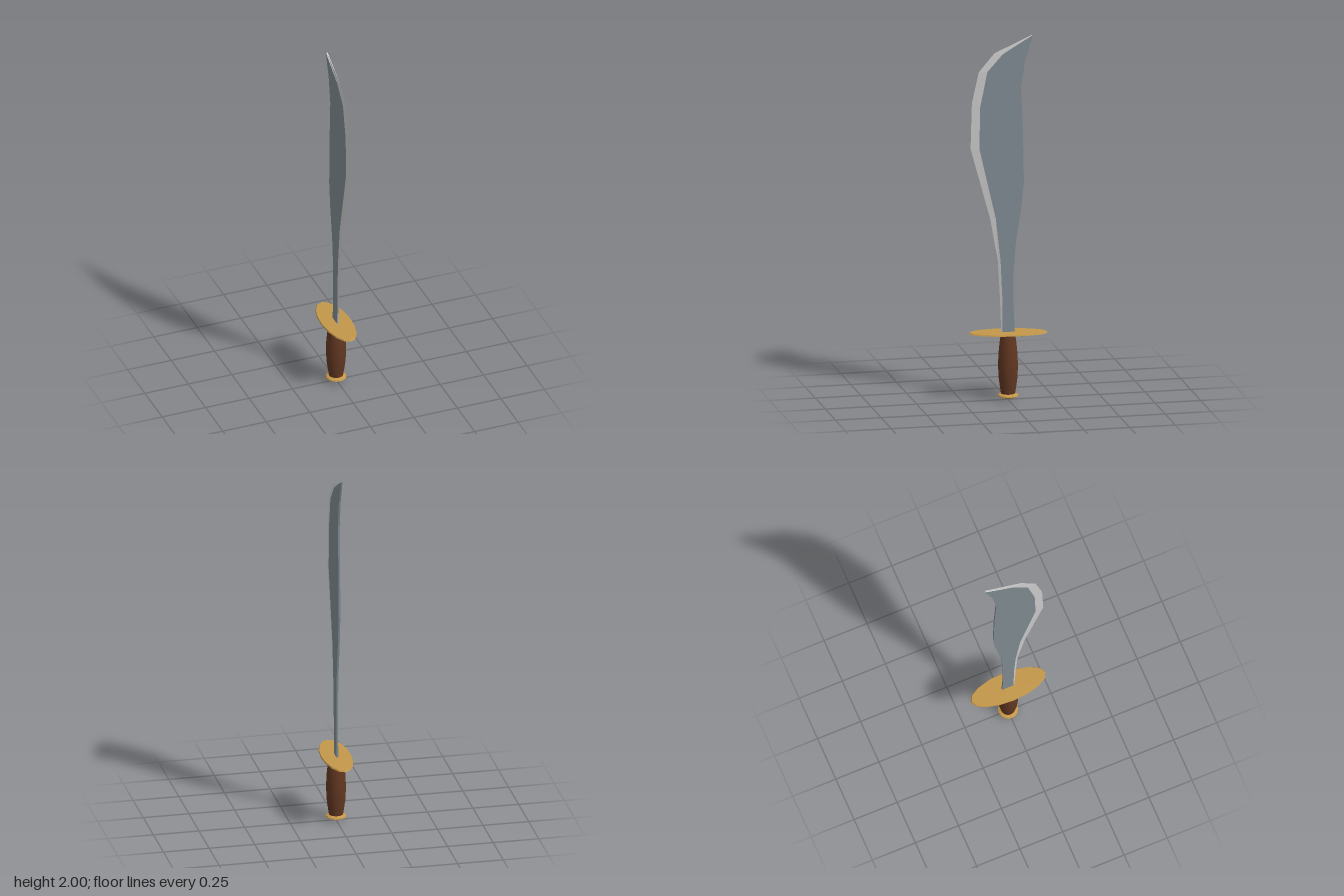
import * as THREE from 'three';

const STEEL = 0x7f8b92, EDGE = 0xcccccc, BRASS = 0xc3974a, WOOD = 0x623721;

function addPart(group, name, geometry, color, flatShading = true) {
  const mesh = new THREE.Mesh(geometry, new THREE.MeshStandardMaterial({ color, flatShading }));
  mesh.name = name;
  group.add(mesh);
  return mesh;
}

function lathe(profile, sides) {
  return new THREE.LatheGeometry(profile.map(([r, y]) => new THREE.Vector2(r, y)), sides);
}

function quadGeometry(quads) {
  const pos = [];
  for (const [a, b, c, d] of quads) pos.push(...a, ...b, ...c, ...a, ...c, ...d);
  const g = new THREE.BufferGeometry();
  g.setAttribute('position', new THREE.Float32BufferAttribute(pos, 3));
  g.computeVertexNormals();
  return g;
}

export function createModel() {
  const sword = new THREE.Group();
  sword.name = 'sword';

  // Blade stations from guard to tip: [z, y] of spine, bevel line and cutting edge
  const stations = [
    [[-0.037, 0.36], [0.03, 0.36], [0.037, 0.36]],
    [[-0.03, 0.5], [0.032, 0.56], [0.044, 0.56]],
    [[-0.03, 0.71], [0.042, 0.77], [0.056, 0.77]],
    [[-0.043, 0.87], [0.068, 1.0], [0.098, 1.0]],
    [[-0.072, 1.06], [0.112, 1.19], [0.15, 1.19]],
    [[-0.086, 1.2], [0.158, 1.39], [0.205, 1.39]],
    [[-0.08, 1.5], [0.153, 1.62], [0.198, 1.64]],
    [[-0.07, 1.72], [0.114, 1.81], [0.16, 1.81]],
    [[-0.094, 1.87], [0.028, 1.905], [0.075, 1.91]],
    [[-0.137, 2.0], [-0.134, 2.0], [-0.13, 2.0]],
  ];
  const t = 0.005;
  const at = ([z, y], x) => [x, y, z];
  const body = [], bevel = [];
  for (let i = 0; i < stations.length - 1; i++) {
    const [b0, m0, e0] = stations[i], [b1, m1, e1] = stations[i + 1];
    for (const s of [1, -1]) {
      const flat = [at(m0, s * t), at(b0, s * t), at(b1, s * t), at(m1, s * t)];
      const slope = [at(e0, 0), at(m0, s * t), at(m1, s * t), at(e1, 0)];
      body.push(s > 0 ? flat : flat.reverse());
      bevel.push(s > 0 ? slope : slope.reverse());
    }
    body.push([at(b0, t), at(b0, -t), at(b1, -t), at(b1, t)]); // spine
  }
  addPart(sword, 'blade', quadGeometry(body), STEEL);
  addPart(sword, 'cuttingEdge', quadGeometry(bevel), EDGE);

  // Oval guard, tilted slightly towards the cutting edge
  const guard = lathe([[0, 0.35], [0.42, 0.352], [1, 0.365], [0.97, 0.372], [0, 0.373]], 16);
  const p = guard.attributes.position;
  for (let i = 0; i < p.count; i++) {
    const z = p.getZ(i) * 0.217;
    p.setXYZ(i, p.getX(i) * 0.083, p.getY(i) + 0.026 * z, z);
  }
  addPart(sword, 'guard', guard, BRASS);

  // Swelling wooden grip
  addPart(sword, 'grip', lathe([
    [0.037, 0.025], [0.044, 0.07], [0.051, 0.12], [0.054, 0.185],
    [0.052, 0.25], [0.046, 0.31], [0.04, 0.355],
  ], 16), WOOD, false);

  // Pommel disc with a shallow conical underside
  addPart(sword, 'pommel', lathe([
    [0, 0], [0.025, 0.008], [0.056, 0.021], [0.054, 0.027], [0.037, 0.035], [0, 0.035],
  ], 16), BRASS);

  return sword;
}
